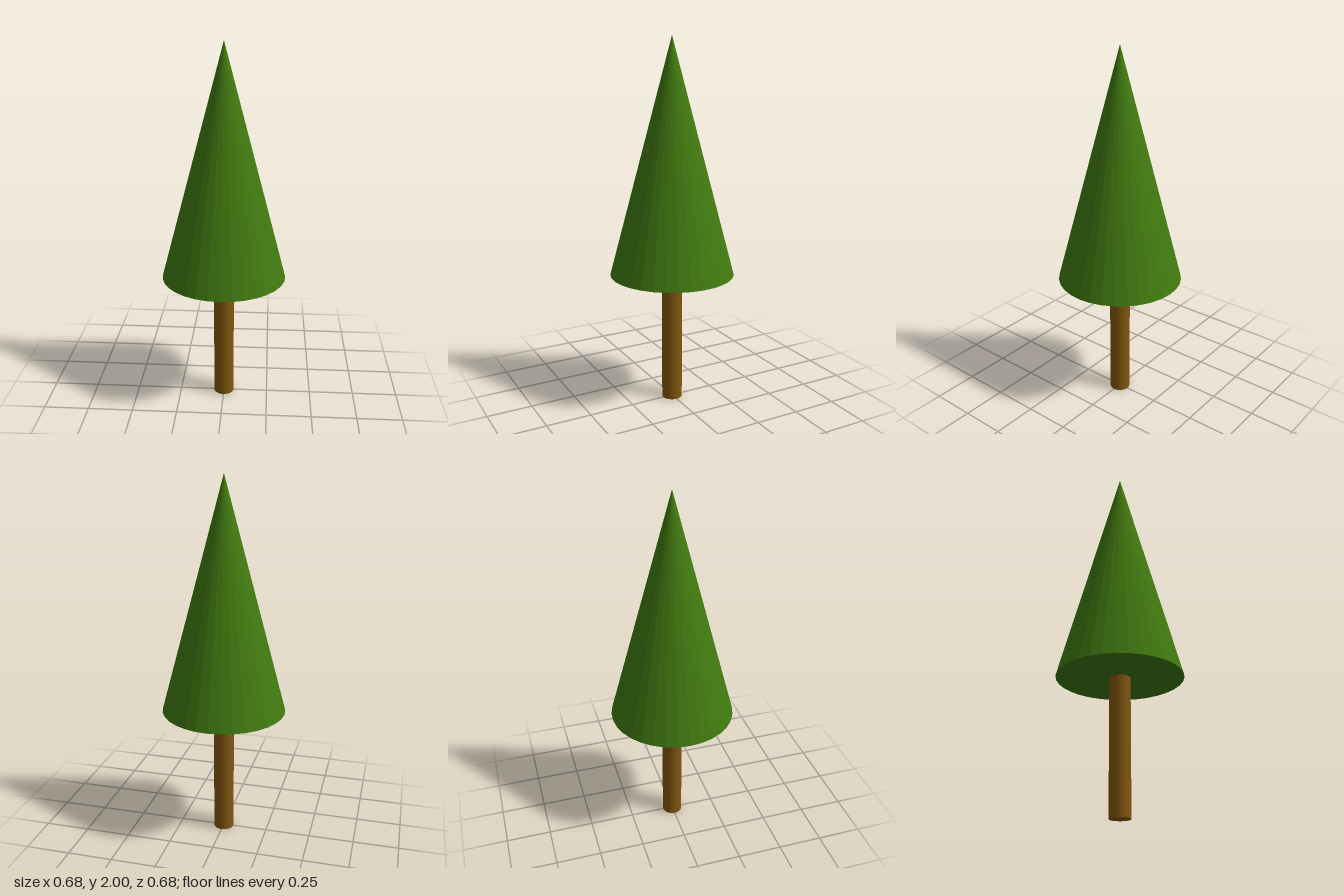
import * as THREE from 'three';

const SIDES = 32;
const TRUNK_HEIGHT = 0.73;
const TOTAL_HEIGHT = 2;

// Upright round part standing on a given height
function roundPart(name, topRadius, bottomRadius, bottom, top, color) {
  const geometry = new THREE.CylinderGeometry(topRadius, bottomRadius, top - bottom, SIDES);
  geometry.translate(0, (bottom + top) / 2, 0);
  const mesh = new THREE.Mesh(geometry, new THREE.MeshStandardMaterial({ color, flatShading: true }));
  mesh.name = name;
  return mesh;
}

export function createModel() {
  const tree = new THREE.Group();
  tree.name = 'tree';

  // Slim straight trunk
  tree.add(roundPart('trunk', 0.056, 0.056, 0, TRUNK_HEIGHT, 0x82560f));

  // Single conical crown with a closed underside
  tree.add(roundPart('foliage', 0, 0.339, TRUNK_HEIGHT, TOTAL_HEIGHT, 0x417a10));

  return tree;
}
